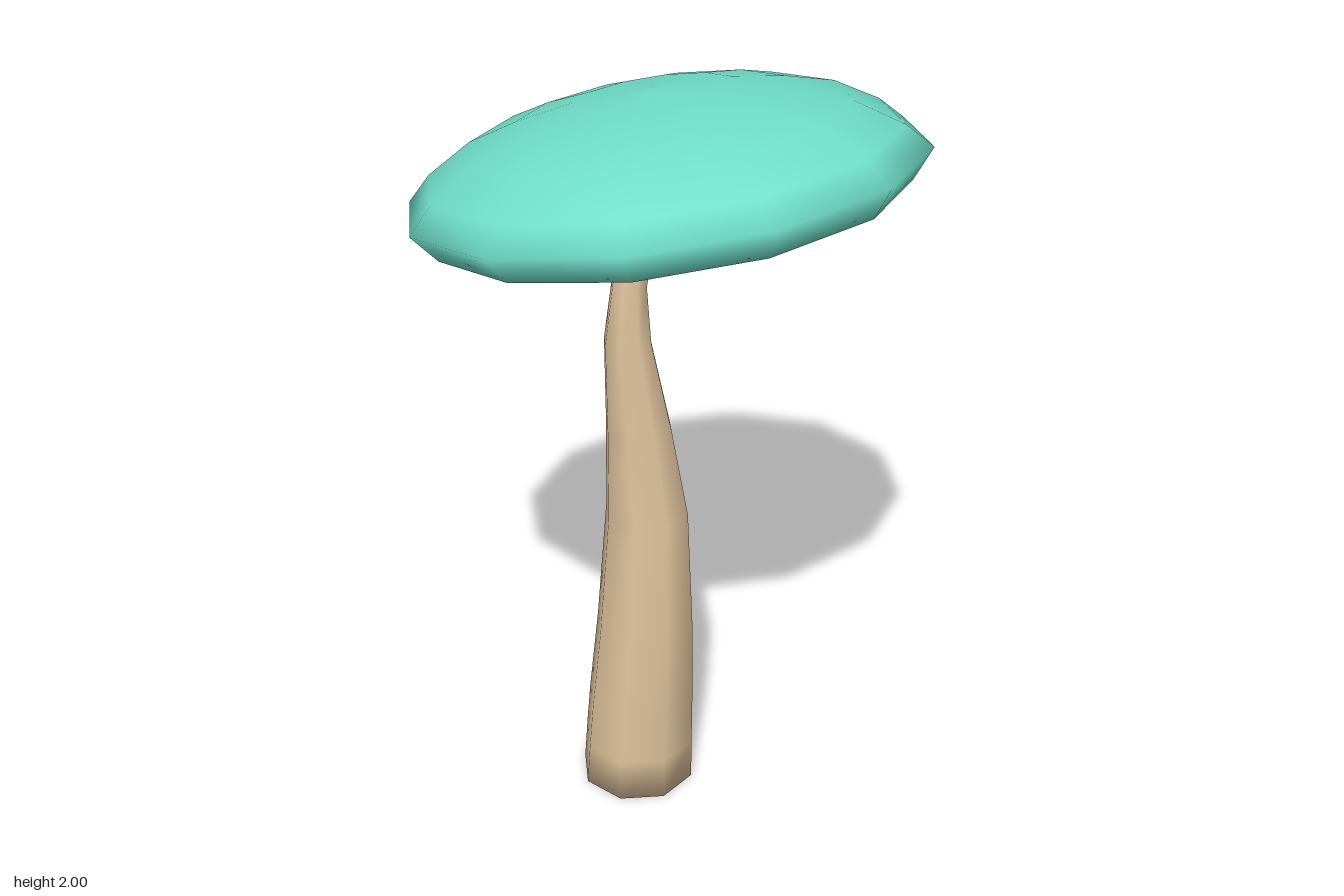
import * as THREE from 'three';

const CAP = new THREE.MeshStandardMaterial({ color: 0x70dfca });
const STEM = new THREE.MeshStandardMaterial({ color: 0xdfc29c });

// Smooth tube through horizontal rings [y, centre x, centre z, radius], closed at both ends
function loft(rings, sides, turn) {
  const pos = [], idx = [];
  for (const [y, cx, cz, r] of rings) {
    for (let i = 0; i < sides; i++) {
      const a = turn + (i / sides) * Math.PI * 2;
      pos.push(cx + r * Math.sin(a), y, cz + r * Math.cos(a));
    }
  }
  const last = (rings.length - 1) * sides;
  const bottom = rings.length * sides, top = bottom + 1;
  for (const [y, cx, cz] of [rings[0], rings[rings.length - 1]]) pos.push(cx, y, cz);
  for (let i = 0; i < sides; i++) {
    const j = (i + 1) % sides;
    for (let k = 0; k < last; k += sides) {
      idx.push(k + i, k + j, k + sides + j, k + i, k + sides + j, k + sides + i);
    }
    idx.push(bottom, j, i, top, last + i, last + j);
  }
  const g = new THREE.BufferGeometry();
  g.setAttribute('position', new THREE.Float32BufferAttribute(pos, 3));
  g.setIndex(idx);
  g.computeVertexNormals();
  return g;
}

// Twelve-sided surface of revolution from [radius, height] points
function turned(name, points) {
  const profile = points.map(([r, y]) => new THREE.Vector2(r, y));
  const mesh = new THREE.Mesh(new THREE.LatheGeometry(profile, 12, 0.03), CAP);
  mesh.name = name;
  return mesh;
}

export function createModel() {
  const model = new THREE.Group();
  model.name = 'mushroom';

  // Bent, tapering stem
  const stem = new THREE.Mesh(loft([
    [0, -0.044, 0.07, 0.157],
    [0.12, -0.04, 0.068, 0.153],
    [0.25, -0.034, 0.066, 0.148],
    [0.5, -0.021, 0.062, 0.134],
    [0.85, -0.018, 0.055, 0.112],
    [1.1, -0.027, 0.075, 0.088],
    [1.35, -0.04, 0.1, 0.062],
    [1.5, -0.038, 0.095, 0.046],
    [1.65, -0.035, 0.066, 0.047],
    [1.82, -0.035, 0.029, 0.059],
    [1.945, -0.035, 0.003, 0.056],
  ], 8, Math.PI / 8), STEM);
  stem.name = 'stem';
  model.add(stem);

  // Tilted cap: dome with a grooved lip, and a hollow underside
  const cap = new THREE.Group();
  cap.name = 'cap';
  cap.add(turned('dome', [
    [0.515, -0.055], [0.55, -0.025], [0.588, -0.073], [0.645, 0],
    [0.585, 0.06], [0.47, 0.13], [0.345, 0.168], [0.2, 0.198], [0, 0.213],
  ]));
  cap.add(turned('underside', [
    [0, 0.18], [0.18, 0.17], [0.32, 0.137], [0.43, 0.085], [0.49, 0.025], [0.515, -0.055],
  ]));
  cap.position.y = 1.77;
  cap.rotation.z = 0.188;
  model.add(cap);

  return model;
}
